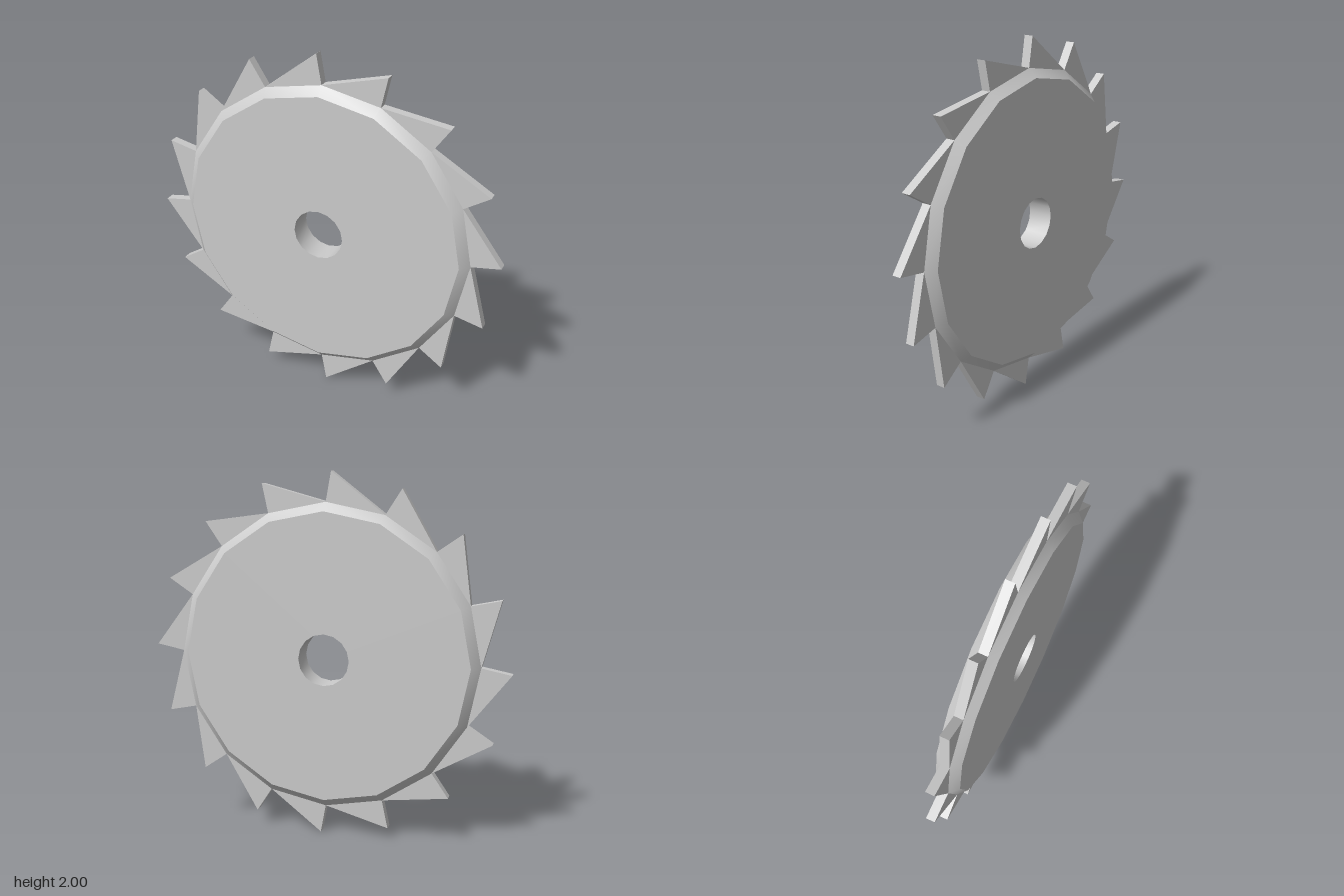
import * as THREE from 'three';
import { toCreasedNormals } from 'three/addons/utils/BufferGeometryUtils.js';

const TEETH = 16;
const STEP = (Math.PI * 2) / TEETH;
const ROOT_R = 0.84;   // valley between teeth
const TIP_R = 1.0;
const RAKE = 0.029;    // tip leans past its valley
const HALF_TOOTH = 0.025;

const polar = (r, a) => new THREE.Vector2(r * Math.cos(a), r * Math.sin(a));

export function createModel() {
  const material = new THREE.MeshStandardMaterial({ color: 0xcccccc });
  const model = new THREE.Group();
  model.name = 'sawBlade';

  // Chamfered 16-sided disc with a bore through the centre
  const profile = [
    [0.142, -0.07], [0.793, -0.07], [ROOT_R, -HALF_TOOTH],
    [ROOT_R, HALF_TOOTH], [0.793, 0.07], [0.142, 0.07], [0.142, -0.07],
  ].map(([r, y]) => new THREE.Vector2(r, y));
  const discGeometry = toCreasedNormals(new THREE.LatheGeometry(profile, TEETH), Math.PI / 6);
  discGeometry.rotateX(Math.PI / 2);
  const disc = new THREE.Mesh(discGeometry, material);
  disc.name = 'disc';
  model.add(disc);

  // One raked tooth, repeated around the rim
  const outline = new THREE.Shape([polar(ROOT_R, 0), polar(TIP_R, RAKE), polar(ROOT_R, STEP)]);
  const toothGeometry = new THREE.ExtrudeGeometry(outline, { depth: HALF_TOOTH * 2, bevelEnabled: false });
  toothGeometry.translate(0, 0, -HALF_TOOTH);
  const teeth = new THREE.Group();
  teeth.name = 'teeth';
  for (let i = 0; i < TEETH; i++) {
    const tooth = new THREE.Mesh(toothGeometry, material);
    tooth.name = `tooth${i + 1}`;
    tooth.rotation.z = i * STEP;
    teeth.add(tooth);
  }
  model.add(teeth);

  model.position.y = 1;
  return model;
}
